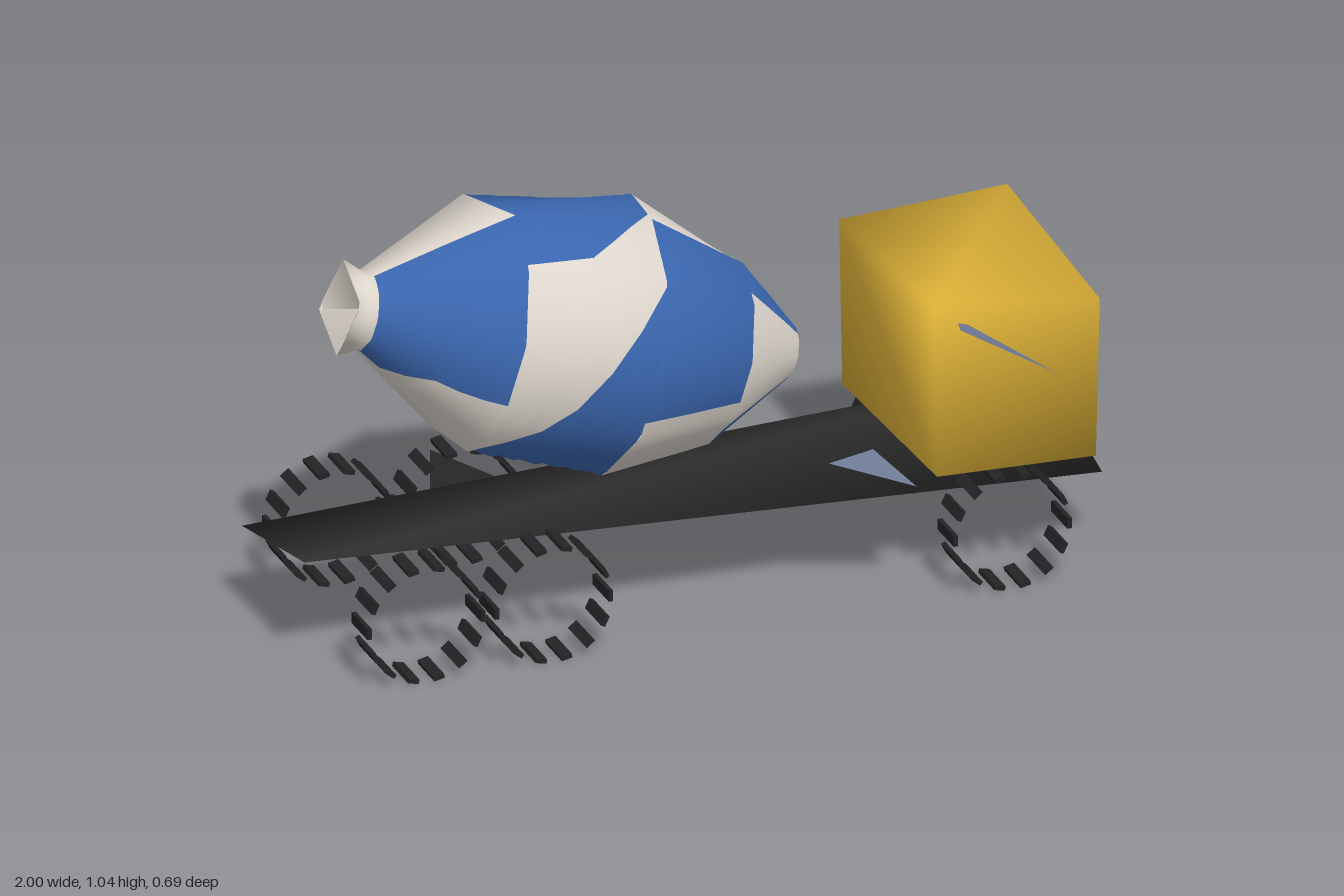
import * as THREE from 'three';
import { mergeVertices } from 'three/addons/utils/BufferGeometryUtils.js';
import { ConvexGeometry } from 'three/addons/geometries/ConvexGeometry.js';

const mat = (name, color, side = THREE.FrontSide) => {
  const m = new THREE.MeshStandardMaterial({ color, side });
  m.name = name;
  return m;
};

// Convex solid whose corners share normals, so the shading rolls over the edges
function softHull(points) {
  const g = new ConvexGeometry(points.map((p) => new THREE.Vector3(...p)));
  g.deleteAttribute('normal');
  const m = mergeVertices(g);
  m.computeVertexNormals();
  return m;
}

function triangle(a, b, c) {
  const g = new THREE.BufferGeometry();
  g.setAttribute('position', new THREE.Float32BufferAttribute([...a, ...b, ...c], 3));
  g.computeVertexNormals();
  return g;
}

// Corner angles of the drum rings in degrees, from the top towards the front
const MOUTH = [-25, 65, 155, 245];
const WALL = [-80, -42, 15, 45, 78, 113, 150, 195, 235];
const BELLY = [-80, -46, -9, 15, 46, 78, 113, 150, 195, 235];

// Drum rings: distance along the axis, radius, corners
const RINGS = [
  [-0.343, 0.115, MOUTH], [-0.287, 0.098, WALL], [0, 0.313, WALL],
  [0.346, 0.338, BELLY], [0.62, 0.238, WALL], [0.815, 0.069, WALL],
];
const rad = THREE.MathUtils.degToRad;
const lerp = THREE.MathUtils.lerp;

// Radius of ring k at angle v in degrees
function ringRadius(k, v) {
  const [, r, corners] = RINGS[k];
  const n = corners.length;
  const t = corners[0] + THREE.MathUtils.euclideanModulo(v - corners[0], 360);
  let i = n - 1;
  while (corners[i] > t) i--;
  const a = corners[i], b = i < n - 1 ? corners[i + 1] : corners[0] + 360;
  return (r * Math.cos(rad(b - a) / 2)) / Math.cos(rad(t - (a + b) / 2));
}

// Outward slope of the profile at a ring, averaged from its neighbours
function slope(k) {
  const a = RINGS[Math.max(k - 1, 0)], b = RINGS[Math.min(k + 1, RINGS.length - 1)];
  return -(b[1] - a[1]) / (b[0] - a[0]);
}

// Paint edge given as angles at ring k, half way, and ring k + 1
const along = ([a, m, b], u) => (u < 0.5 ? lerp(a, m, u * 2) : lerp(m, b, u * 2 - 1));

// Part of the drum wall between ring k and k + 1, bounded by two paint edges
function drumPatch(k, from, to) {
  const NU = 6, NV = 30, pos = [], nor = [], idx = [];
  for (let i = 0; i <= NU; i++) {
    const u = i / NU;
    const x = lerp(RINGS[k][0], RINGS[k + 1][0], u);
    const s = lerp(slope(k), slope(k + 1), u);
    for (let j = 0; j <= NV; j++) {
      const deg = lerp(along(from, u), along(to, u), j / NV), v = rad(deg);
      const p = lerp(ringRadius(k, deg), ringRadius(k + 1, deg), u);
      pos.push(x, p * Math.cos(v), 1.02 * p * Math.sin(v));
      const n = new THREE.Vector3(s, Math.cos(v), Math.sin(v)).normalize();
      nor.push(n.x, n.y, n.z);
      if (i < NU && j < NV) {
        const q = i * (NV + 1) + j, w = q + NV + 1;
        idx.push(q, q + 1, w, q + 1, w + 1, w);
      }
    }
  }
  const g = new THREE.BufferGeometry();
  g.setAttribute('position', new THREE.Float32BufferAttribute(pos, 3));
  g.setAttribute('normal', new THREE.Float32BufferAttribute(nor, 3));
  g.setIndex(idx);
  return g;
}

export function createModel() {
  const model = new THREE.Group();
  model.name = 'mixerTruck';
  const yellow = mat('cabYellow', 0xdfb338);
  const blue = mat('drumBlue', 0x3a65ad);
  const cream = mat('drumCream', 0xdcd5cc, THREE.DoubleSide);
  const black = mat('chassisBlack', 0x2e2e2e);
  const rubber = mat('treadBlack', 0x232325);
  const hubBlack = mat('hubBlack', 0x2b2b2b, THREE.DoubleSide);
  const steel = mat('steelBlue', 0x7683a0, THREE.DoubleSide);

  const add = (parent, name, geo, material, x = 0, y = 0, z = 0) => {
    const m = new THREE.Mesh(geo, material);
    m.name = name;
    m.position.set(x, y, z);
    parent.add(m);
    return m;
  };

  // Chassis: thin twisted wedge with four corners
  add(model, 'chassis', softHull([
    [-1, 0.29, 0.2], [-1, 0.21, -0.21], [1, 0.29, -0.2], [1, 0.197, 0.2],
  ]), black);

  // Cab: slightly skewed block
  add(model, 'cab', softHull([
    [0.95, 0.7, 0.315], [0.95, 0.737, -0.29], [0.95, 0.31, -0.32], [0.95, 0.285, 0.29],
    [0.54, 0.737, 0.29], [0.54, 0.7, -0.32], [0.54, 0.285, -0.3], [0.54, 0.31, 0.32],
  ]), yellow);

  // Narrow window slivers on both cab sides
  for (const s of [1, -1]) {
    const p = (x, y) => [0.715 + s * (x - 0.715), y, s * 0.326];
    add(model, 'windowSliver', triangle(p(0.59, 0.7), p(0.597, 0.68), p(0.84, 0.53)), steel);
    add(model, 'windowSliver', triangle(p(0.59, 0.7), p(0.84, 0.53), p(0.615, 0.692)), steel);
  }

  // Loose plates: step behind the cab and hub plate at one rear wheel
  add(model, 'stepPlate', triangle([0.26, 0.4, 0.343], [0.48, 0.305, 0.343], [0.46, 0.305, 0.11]), steel);
  add(model, 'hubPlate', triangle([-0.49, 0.28, -0.31], [-0.49, 0.03, -0.31], [-0.285, 0.16, -0.31]), hubBlack);

  // Wheels: rings of tread blocks
  const tread = new THREE.BoxGeometry(0.011, 0.027, 0.106);
  for (const x of [-0.75, -0.43, 0.72]) {
    for (const z of [0.293, -0.293]) {
      const wheel = new THREE.Group();
      wheel.name = 'wheel';
      wheel.position.set(x, 0.149, z);
      for (let i = 0; i < 14; i++) {
        const a = (i / 14) * Math.PI * 2;
        const t = add(wheel, 'tread', tread, rubber, 0.1425 * Math.cos(a), 0.1425 * Math.sin(a), 0);
        t.rotation.z = a;
      }
      model.add(wheel);
    }
  }

  // Drum, tilted with the mouth up at the rear
  const drum = new THREE.Group();
  drum.name = 'drum';
  drum.position.set(-0.505, 0.75, 0.005);
  drum.rotation.z = rad(-14.7);
  model.add(drum);
  add(drum, 'drumMouth', drumPatch(0, [0, 0, 0], [360, 360, 360]), cream);

  // Staggered paint: four patches per band, split at these edges
  const edges = [
    [[12, 13, 15], [165, 117, 108], [195, 195, 195], [285, 285, 285]],
    [[42, 36, 10], [152, 105, 48], [195, 195, 195], [318, 312, 285]],
    [[14, 14, 15], [107, 106, 104], [195, 195, 195], [285, 285, 285]],
    [[36, 34, 30], [130, 130, 130], [210, 210, 210], [300, 300, 300]],
  ];
  edges.forEach((e, band) => {
    e.forEach((from, q) => {
      const to = q < 3 ? e[q + 1] : e[0].map((a) => a + 360);
      const isBlue = (q + band) % 2 === 0;
      add(drum, isBlue ? 'blueDrumPatch' : 'creamDrumPatch', drumPatch(band + 1, from, to), isBlue ? blue : cream);
    });
  });

  // End caps: shallow cone inside the mouth, flat disc at the cab end
  const cone = new THREE.ConeGeometry(0.115, 0.05, 4, 1, true, rad(MOUTH[0] - 90));
  const inner = add(drum, 'mouthInside', cone, cream, -0.318, 0, 0);
  inner.rotation.z = -Math.PI / 2;
  const cap = add(drum, 'drumEnd', new THREE.CircleGeometry(0.067, 9), cream, 0.815, 0, 0);
  cap.rotation.y = Math.PI / 2;
  return model;
}
